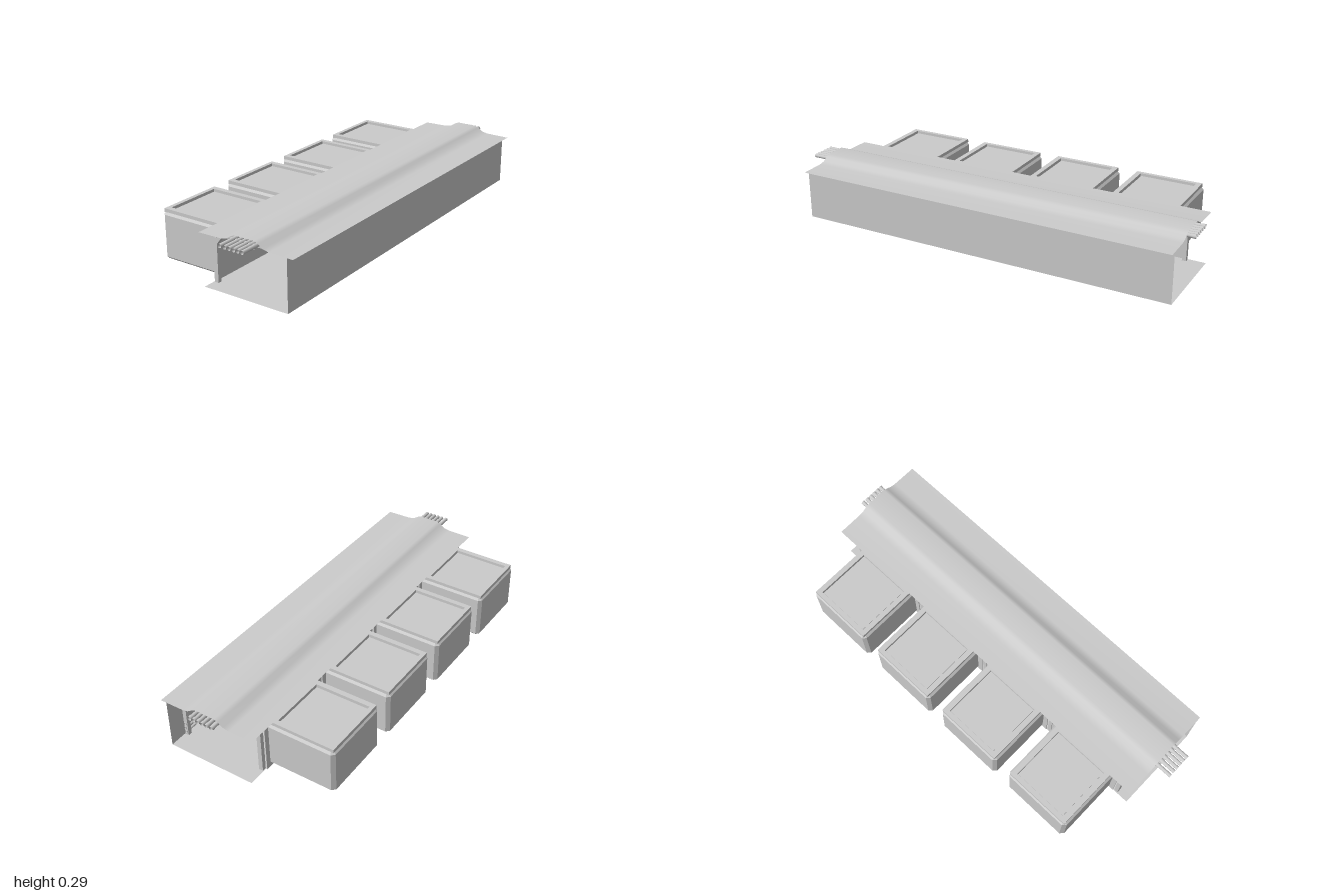
import * as THREE from 'three';

const grey = new THREE.MeshStandardMaterial({ color: 0xcccccc, flatShading: true });
const thin = new THREE.MeshStandardMaterial({ color: 0xcccccc, side: THREE.DoubleSide });
const FRONT = 0.92, BACK = -0.965, LENGTH = FRONT - BACK, MID = (FRONT + BACK) / 2;

function add(parent, name, geometry, material = grey) {
  const mesh = new THREE.Mesh(geometry, material);
  mesh.name = name;
  parent.add(mesh);
  return mesh;
}

const polygon = (pts) => new THREE.Shape(pts.map(([x, y]) => new THREE.Vector2(x, y)));

function slab(x0, x1, y0, y1, z0, z1) {
  return new THREE.BoxGeometry(x1 - x0, y1 - y0, z1 - z0)
    .translate((x0 + x1) / 2, (y0 + y1) / 2, (z0 + z1) / 2);
}

// Open sheet swept along z from an x,y profile
function sheet(points) {
  const curve = [];
  for (let i = 0; i < points.length - 1; i++) curve.push(points[i]);
  curve.push(points[points.length - 1]);
  const pos = [], index = [];
  curve.forEach(([x, y], i) => {
    pos.push(x, y, FRONT, x, y, BACK);
    if (i) {
      const a = 2 * i - 2;
      index.push(a, a + 2, a + 1, a + 1, a + 2, a + 3);
    }
  });
  const g = new THREE.BufferGeometry();
  g.setAttribute('position', new THREE.Float32BufferAttribute(pos, 3));
  g.setIndex(index);
  g.computeVertexNormals();
  return g;
}

// Pipe running along z
function pipe(parent, name, x, y, r, z0, z1) {
  const g = new THREE.CylinderGeometry(r, r, z1 - z0, 12, 1, true).rotateX(Math.PI / 2);
  add(parent, name, g, thin).position.set(x, y, (z0 + z1) / 2);
}

// Side pod with chamfered edges, recessed lid and mounting flange
function makePod() {
  const pod = new THREE.Group();
  pod.name = 'sidePod';
  const b = 0.01, w = 0.165;
  const plan = polygon([[-0.08, -w], [-0.08, w], [-0.382, w], [-0.392, w - 0.01],
    [-0.392, -w + 0.01], [-0.382, -w]].reverse());
  const body = new THREE.ExtrudeGeometry(plan, {
    depth: 0.2, bevelEnabled: true, bevelThickness: b, bevelSize: b, bevelSegments: 1,
  });
  add(pod, 'podBody', body.rotateX(-Math.PI / 2).translate(0, 0.027, 0));

  const rim = polygon([[-0.395, -0.165], [-0.08, -0.165], [-0.08, 0.165], [-0.395, 0.165]]);
  rim.holes.push(polygon([[-0.375, -0.14], [-0.375, 0.14], [-0.1, 0.14], [-0.1, -0.14]]));
  const rimGeo = new THREE.ExtrudeGeometry(rim, { depth: 0.018, bevelEnabled: false });
  add(pod, 'lidRim', rimGeo.rotateX(-Math.PI / 2).translate(0, 0.235, 0));
  add(pod, 'lidPanel', slab(-0.37, -0.105, 0.23, 0.242, -0.135, 0.135));
  add(pod, 'podFlange', slab(-0.07, -0.066, 0, 0.253, -0.2, 0.2));
  return pod;
}

export function createModel() {
  const model = new THREE.Group();
  model.name = 'corridorSection';

  // Corridor skin: raised-centre roof, floor and one long wall
  const half = [[-0.09, 0.254], [0.03, 0.256], [0.06, 0.262], [0.085, 0.279], [0.105, 0.287]];
  const roof = [...half, ...[[0.205, 0.287], [0.225, 0.279], [0.25, 0.262], [0.28, 0.256], [0.4, 0.254]]];
  add(model, 'roof', sheet(roof), thin);
  add(model, 'floor', sheet([[-0.07, 0.01], [0.37, 0.01]]), thin);
  add(model, 'longWall', sheet([[0.37, 0.254], [0.37, 0.01]]), thin);

  // Portal frames with corner gussets
  const portal = polygon([[-0.066, 0.01], [-0.045, 0.01], [-0.045, 0.19], [-0.014, 0.229],
    [0.316, 0.229], [0.348, 0.19], [0.348, 0.01], [0.368, 0.01], [0.368, 0.252], [-0.066, 0.252]]);
  const portalGeo = new THREE.ExtrudeGeometry(portal, { depth: 0.02, bevelEnabled: false })
    .translate(0, 0, -0.01);
  for (let i = -2; i <= 2; i++) add(model, 'portalFrame', portalGeo).position.z = -0.01 + i * 0.43;

  // Side pods
  for (let i = 0; i < 4; i++) {
    const pod = makePod();
    pod.position.z = -0.655 + i * 0.43;
    model.add(pod);
  }

  // Roof pipes with end collars, corner pipes and wall pipes
  for (const x of [0.094, 0.12, 0.143, 0.166, 0.188, 0.21]) {
    pipe(model, 'roofPipe', x, 0.266, 0.009, -1, 1);
    pipe(model, 'pipeCollar', x, 0.266, 0.0105, 0.92, 0.932);
    pipe(model, 'pipeCollar', x, 0.266, 0.0105, -1, -0.985);
  }
  for (const x of [-0.05, 0.348]) pipe(model, 'cornerPipe', x, 0.23, 0.01, -0.885, 0.865);
  for (const y of [0.03, 0.052, 0.075]) pipe(model, 'wallPipe', 0.358, y, 0.006, -0.885, 0.865);

  return model;
}
